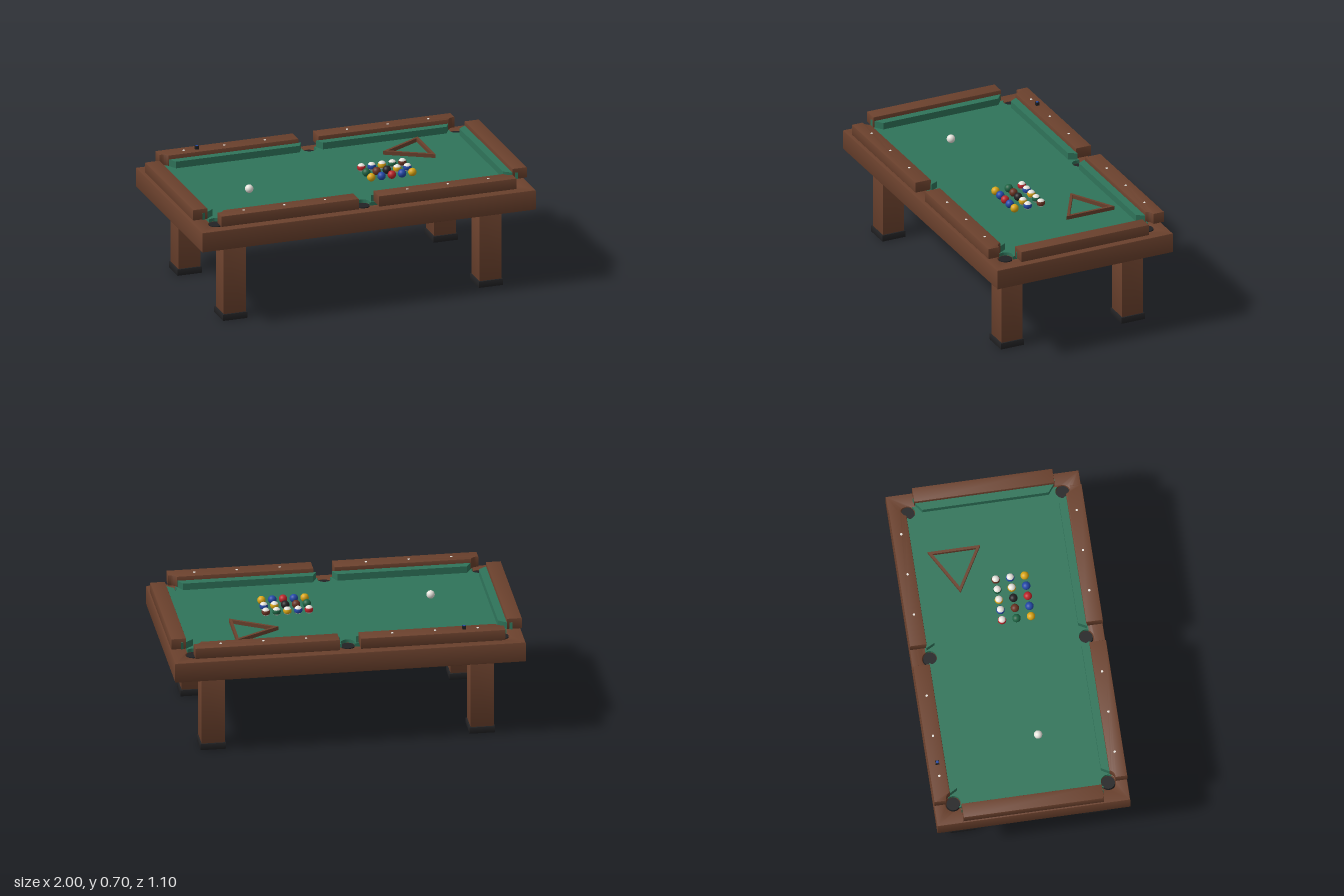
import * as THREE from 'three';
import { toCreasedNormals } from 'three/addons/utils/BufferGeometryUtils.js';

const mat = (name, color) => {
  const m = new THREE.MeshStandardMaterial({ color });
  m.name = name;
  return m;
};

export function createModel() {
  const root = new THREE.Group();
  root.name = 'poolTable';
  const wood = mat('wood', 0x6b412d);
  const felt = mat('feltGreen', 0x2f745a);
  const black = mat('black', 0x222224);
  const white = mat('white', 0xeeebe4);
  const yellow = mat('yellow', 0xd9a514);
  const blue = mat('blue', 0x2349a8);
  const red = mat('red', 0xbb2429);
  const ballGreen = mat('ballGreen', 0x1f6444);
  const maroon = mat('maroon', 0x6a3322);

  const add = (name, geo, material, x = 0, y = 0, z = 0, parent = root) => {
    const m = new THREE.Mesh(geo, material);
    m.name = name;
    m.position.set(x, y, z);
    parent.add(m);
    return m;
  };
  const arc = (cx, cz, r, a0, a1, n) => Array.from({ length: n + 1 }, (_, i) => {
    const a = a0 + (a1 - a0) * i / n;
    return [cx + r * Math.cos(a), cz + r * Math.sin(a)];
  });
  const toVec = (pts) => pts.map(([x, z]) => new THREE.Vector2(x, z));

  // Horizontal slab from an (x, z) outline, with optional holes and softened edges
  const slab = (pts, y0, y1, bevel = 0, holes = []) => {
    const shape = new THREE.Shape(toVec(pts));
    holes.forEach((h) => shape.holes.push(new THREE.Path(toVec(h))));
    const g = new THREE.ExtrudeGeometry(shape, {
      depth: y1 - y0 - 2 * bevel, bevelEnabled: bevel > 0, bevelThickness: bevel,
      bevelSize: bevel, bevelOffset: -bevel, bevelSegments: 2,
    });
    g.rotateX(Math.PI / 2);
    g.translate(0, y1 - bevel, 0);
    return toCreasedNormals(g, 0.6);
  };
  const rect = (x, z) => [[-x, -z], [x, -z], [x, z], [-x, z]];

  // Pocket positions
  const pockets = [];
  for (const s of [-1, 1]) {
    pockets.push([-0.88, 0.442 * s], [0, 0.445 * s], [0.88, 0.442 * s]);
  }

  // Table body with pocket holes and dark pocket cups
  const holes = pockets.map(([x, z]) => arc(x, z, 0.043, 0, Math.PI * 2 * 31 / 32, 31));
  add('tableBody', slab(rect(1, 0.55), 0.47, 0.59, 0.006, holes), wood);
  for (const [x, z] of pockets) {
    add('pocketCup', new THREE.CylinderGeometry(0.038, 0.038, 0.095, 32), black, x, 0.5425, z);
  }

  // Felt bed, its outline scalloped around the pockets
  const corner = arc(0.88, 0.44, 0.04, -0.723, -3.817, 16);
  const middle = arc(0, 0.445, 0.04, 0.524, -Math.PI - 0.524, 16);
  const half = [...corner, ...middle, ...corner.map(([x, z]) => [-x, z]).reverse()];
  add('feltBed', slab([...half, ...half.map(([x, z]) => [-x, -z])], 0.59, 0.61), felt);

  // Side rails and cushions, mirrored to four quarters
  const railPts = [[0.06, 0.455], ...arc(0.88, 0.44, 0.043, 2.785, 1.454, 8),
    [0.885, 0.55], [0.06, 0.55]];
  const cushionPts = [[0.07, 0.41], [0.81, 0.41], [0.838, 0.458], [0.045, 0.458]];
  for (const sx of [-1, 1]) {
    for (const sz of [-1, 1]) {
      const flip = (pts) => pts.map(([x, z]) => [x * sx, z * sz]);
      add('sideRail', slab(flip(railPts), 0.61, 0.675, 0.004), wood);
      add('sideCushion', slab(flip(cushionPts), 0.61, 0.65), felt);
      // Rail sight markers
      for (const x of [0.246, 0.49, 0.733]) {
        add('railSight', new THREE.CylinderGeometry(0.007, 0.007, 0.004, 12), white,
          x * sx, 0.6755, 0.5 * sz);
      }
      // Leg with a dark foot collar
      const leg = new THREE.Group();
      leg.name = 'leg';
      leg.position.set(0.767 * sx, 0, 0.378 * sz);
      root.add(leg);
      add('legPost', slab(rect(0.066, 0.066), 0, 0.475, 0.003), wood, 0, 0, 0, leg);
      add('legFoot', slab(rect(0.073, 0.073), 0.001, 0.04, 0.003), black, 0, 0, 0, leg);
    }
    // End rail and cushion
    const end = (pts) => pts.map(([x, z]) => [x * sx, z]);
    add('endRail', slab(end([[0.915, -0.4], [1, -0.4], [1, 0.4], [0.915, 0.4]]),
      0.61, 0.675, 0.004), wood);
    add('endCushion', slab(end([[0.87, -0.36], [0.915, -0.395], [0.945, -0.405],
      [0.945, 0.405], [0.915, 0.395], [0.87, 0.36]]), 0.61, 0.65), felt);
  }

  // Balls: solid ones, or white with a coloured belt
  const R = 0.024;
  const zone = (t0, t1) => new THREE.SphereGeometry(R, 24, 12, 0, Math.PI * 2, t0, t1 - t0);
  const ball = (name, x, z, color, striped = false) => {
    const g = new THREE.Group();
    g.name = name;
    g.position.set(x, 0.61 + R, z);
    root.add(g);
    if (!striped) {
      add('ballSurface', zone(0, Math.PI), color, 0, 0, 0, g);
      return;
    }
    const t = 1.05;
    add('ballTop', zone(0, t), white, 0, 0, 0, g);
    add('ballBelt', zone(t, Math.PI - t), color, 0, 0, 0, g);
    add('ballBottom', zone(Math.PI - t, Math.PI), white, 0, 0, 0, g);
  };
  ball('cueBall', -0.553, 0.09, white);
  const colors = [yellow, blue, red, blue, yellow, ballGreen, maroon, black,
    yellow, blue, red, blue, yellow, ballGreen, maroon];
  colors.forEach((c, i) => {
    ball(i < 8 ? 'solidBall' : 'stripedBall', 0.156 + 0.0615 * (i % 5),
      0.154 - 0.0825 * Math.floor(i / 5), c, i > 7);
  });

  // Triangular rack lying on the felt
  add('rackTriangle', slab([[0.36, -0.217], [0.621, -0.367], [0.621, -0.067]], 0.61, 0.632, 0,
    [[[0.39, -0.217], [0.606, -0.341], [0.606, -0.093]]]), wood);

  // Chalk cube on the back rail
  add('chalkCube', new THREE.BoxGeometry(0.02, 0.02, 0.02), black, -0.655, 0.684, -0.5);
  add('chalkTop', new THREE.CylinderGeometry(0.008, 0.008, 0.002, 16), blue, -0.655, 0.6945, -0.5);

  return root;
}
